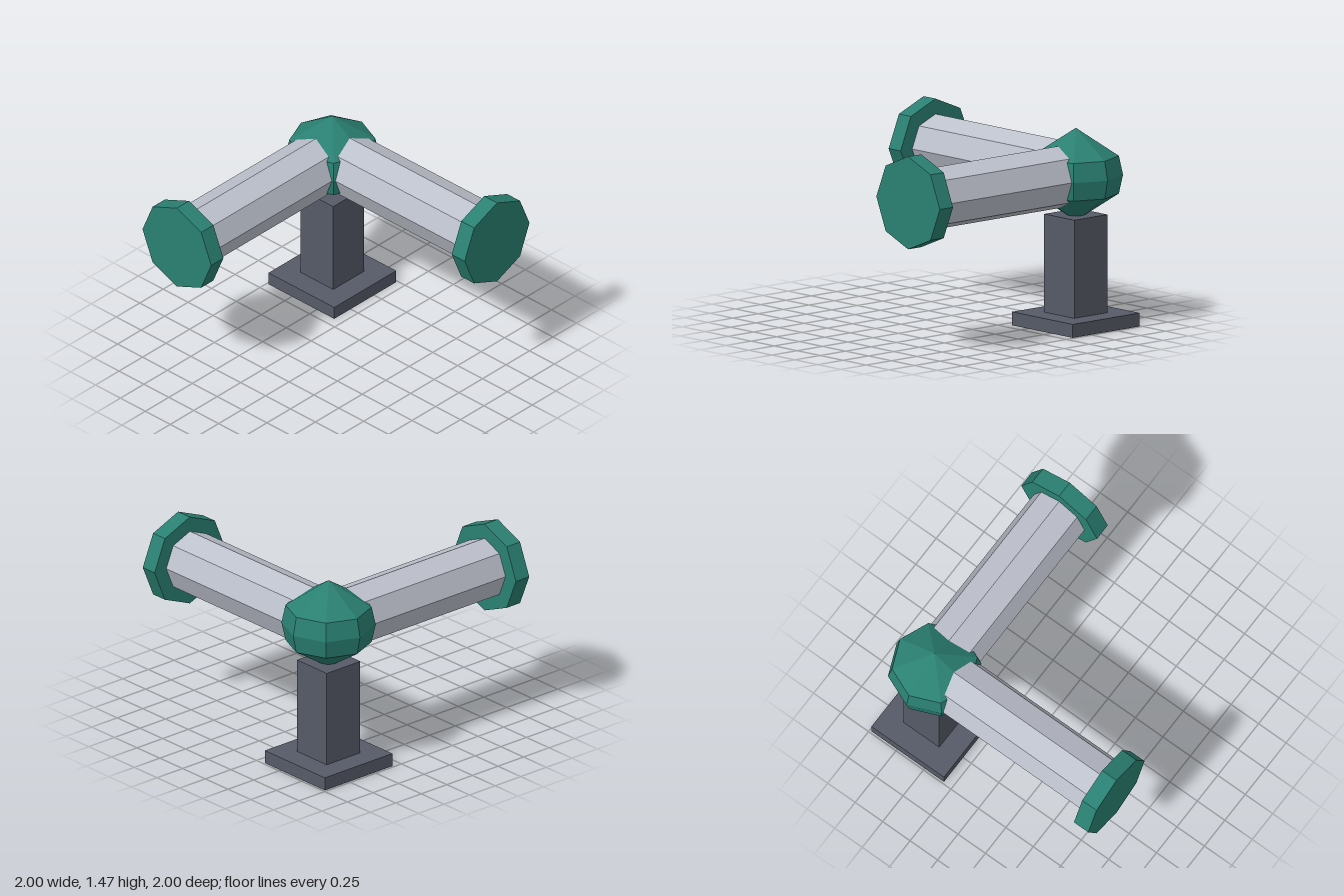
import * as THREE from 'three';

const CENTER = new THREE.Vector3(-0.655, 1.128, -0.655);
const R = 0.345; // joint and flange radius

function flatMaterial(name, color) {
  const m = new THREE.MeshStandardMaterial({ color, flatShading: true });
  m.name = name;
  return m;
}

export function createModel() {
  const model = new THREE.Group();
  model.name = 'pipeCorner';
  const green = flatMaterial('green', 0x2a8072);
  const grey = flatMaterial('lightGrey', 0xbdc1cc);
  const dark = flatMaterial('darkGrey', 0x565a67);

  const add = (parent, name, geometry, material, x, y, z) => {
    const mesh = new THREE.Mesh(geometry, material);
    mesh.name = name;
    mesh.position.set(x, y, z);
    parent.add(mesh);
    return mesh;
  };

  // Square stand
  add(model, 'basePlate', new THREE.BoxGeometry(0.66, 0.1, 0.66), dark, CENTER.x, 0.05, CENTER.z);
  add(model, 'post', new THREE.BoxGeometry(0.327, 0.73, 0.327), dark, CENTER.x, 0.465, CENTER.z);

  // Eight-sided joint with pointed top and bottom
  const profile = [[0, -R], [0.315, -0.14], [R, 0], [0.315, 0.14], [0, R]]
    .map(([r, y]) => new THREE.Vector2(r, y));
  add(model, 'joint', new THREE.LatheGeometry(profile, 8), green, CENTER.x, CENTER.y, CENTER.z);

  // One arm lies along +z: octagonal pipe ending in a flange
  const reach = 1 - CENTER.z;
  const thick = 0.13;
  const makeArm = (name, turn) => {
    const arm = new THREE.Group();
    arm.name = name;
    arm.position.copy(CENTER);
    arm.rotation.y = turn;
    const length = reach - thick;
    const pipe = new THREE.CylinderGeometry(0.231, 0.231, length, 8).rotateX(Math.PI / 2);
    add(arm, 'pipe', pipe, grey, 0, 0, length / 2);
    const flange = new THREE.CylinderGeometry(R, R, thick, 8).rotateX(Math.PI / 2);
    add(arm, 'flange', flange, green, 0, 0, reach - thick / 2);
    model.add(arm);
  };
  makeArm('frontArm', 0);
  makeArm('leftArm', Math.PI / 2);

  return model;
}
